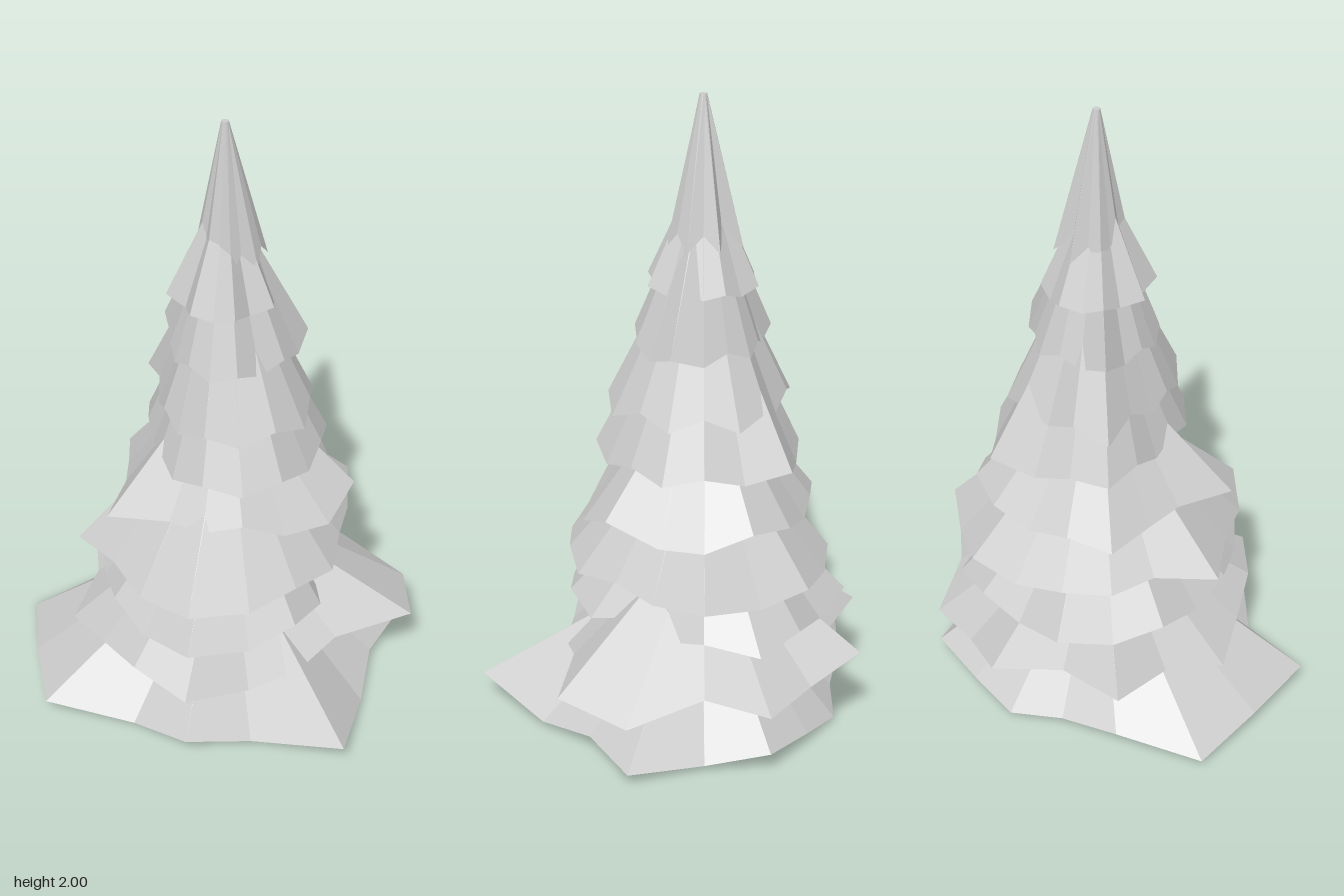
import * as THREE from 'three';

const SEGMENTS = 16;
const AXIS_X = 0.01, AXIS_Z = -0.065;
const TIP_RADIUS = 0.011;

// Rim heights that alternate above and below a level
const wavy = (level, wave) =>
  Array.from({ length: SEGMENTS }, (_, k) => level + (k % 2 ? wave : -wave));

// One skirt of branches: an open, folded cone hanging from the trunk line.
// radii and heights describe the rim, running from +x towards +z.
function branchSkirt(apexY, heights, radii) {
  const positions = [];
  const rim = (i) => {
    const k = i % SEGMENTS, a = (k / SEGMENTS) * Math.PI * 2;
    return [Math.cos(a) * radii[k], heights[k], Math.sin(a) * radii[k]];
  };
  const top = (i) => {
    const a = (i / SEGMENTS) * Math.PI * 2;
    return [Math.cos(a) * TIP_RADIUS, apexY, Math.sin(a) * TIP_RADIUS];
  };
  for (let i = 0; i < SEGMENTS; i++) {
    positions.push(...rim(i), ...top(i), ...rim(i + 1));
    positions.push(...rim(i + 1), ...top(i), ...top(i + 1));
  }
  const geometry = new THREE.BufferGeometry();
  geometry.setAttribute('position', new THREE.Float32BufferAttribute(positions, 3));
  geometry.computeVertexNormals();
  return geometry;
}

export function createModel() {
  const tree = new THREE.Group();
  tree.name = 'firTree';
  const foliage = new THREE.MeshStandardMaterial({ color: 0xcccccc, side: THREE.DoubleSide, flatShading: true });
  foliage.name = 'foliage grey';

  const add = (name, geometry) => {
    const mesh = new THREE.Mesh(geometry, foliage);
    mesh.name = name;
    mesh.position.set(AXIS_X, 0, AXIS_Z);
    tree.add(mesh);
    return mesh;
  };
  let count = 0;
  const tier = (apexY, heights, radii) =>
    add(`branchTier${++count}`, branchSkirt(apexY, heights, radii));

  // Branch tiers from the ground up
  tier(0.50, [.04, .05, .02, .08, .005, .06, .01, .06, .05, .02, .05, .03, .01, .04, .065, .02],
    [.61, .50, .55, .71, .50, .565, .51, .69, .64, .67, .50, .42, .455, .46, .53, .48]);
  tier(0.62, [.20, .24, .24, .20, .19, .23, .25, .22, .18, .22, .24, .22, .26, .21, .19, .25],
    [.615, .63, .44, .44, .455, .56, .50, .47, .51, .44, .55, .40, .535, .47, .53, .48]);
  tier(0.86, wavy(0.37, 0.015),
    [.33, .29, .38, .42, .45, .52, .45, .42, .40, .42, .42, .457, .40, .42, .45, .38]);
  tier(1.03, wavy(0.53, 0.01),
    [.41, .38, .42, .42, .455, .51, .46, .42, .48, .36, .38, .40, .41, .45, .445, .49]);
  tier(1.17, [.685, .76, .70, .705, .76, .72, .72, .73, .73, .71, .69, .71, .69, .72, .74, .69],
    [.36, .42, .40, .35, .325, .31, .30, .435, .32, .32, .385, .34, .34, .37, .385, .38]);
  tier(1.52, wavy(0.89, 0.015),
    [.33, .31, .32, .33, .325, .31, .28, .24, .23, .25, .30, .30, .31, .375, .32, .32]);
  tier(1.62, wavy(1.05, 0.02),
    [.28, .27, .30, .29, .28, .28, .25, .22, .21, .21, .30, .26, .24, .27, .28, .25]);
  tier(1.75, wavy(1.24, -0.015),
    [.26, .23, .22, .20, .225, .21, .19, .18, .17, .17, .23, .18, .18, .20, .19, .22]);
  tier(1.79, wavy(1.42, -0.01),
    [.15, .15, .18, .14, .18, .16, .18, .14, .18, .14, .17, .16, .18, .16, .17, .15]);
  tier(2.00, wavy(1.57, 0.025),
    [.13, .11, .12, .09, .11, .08, .10, .07, .09, .08, .11, .09, .13, .08, .13, .10]);

  // Tiny flat cap closing the treetop
  const cap = new THREE.CircleGeometry(TIP_RADIUS, SEGMENTS).rotateX(-Math.PI / 2);
  add('treetopCap', cap).position.y = 2;

  return tree;
}
